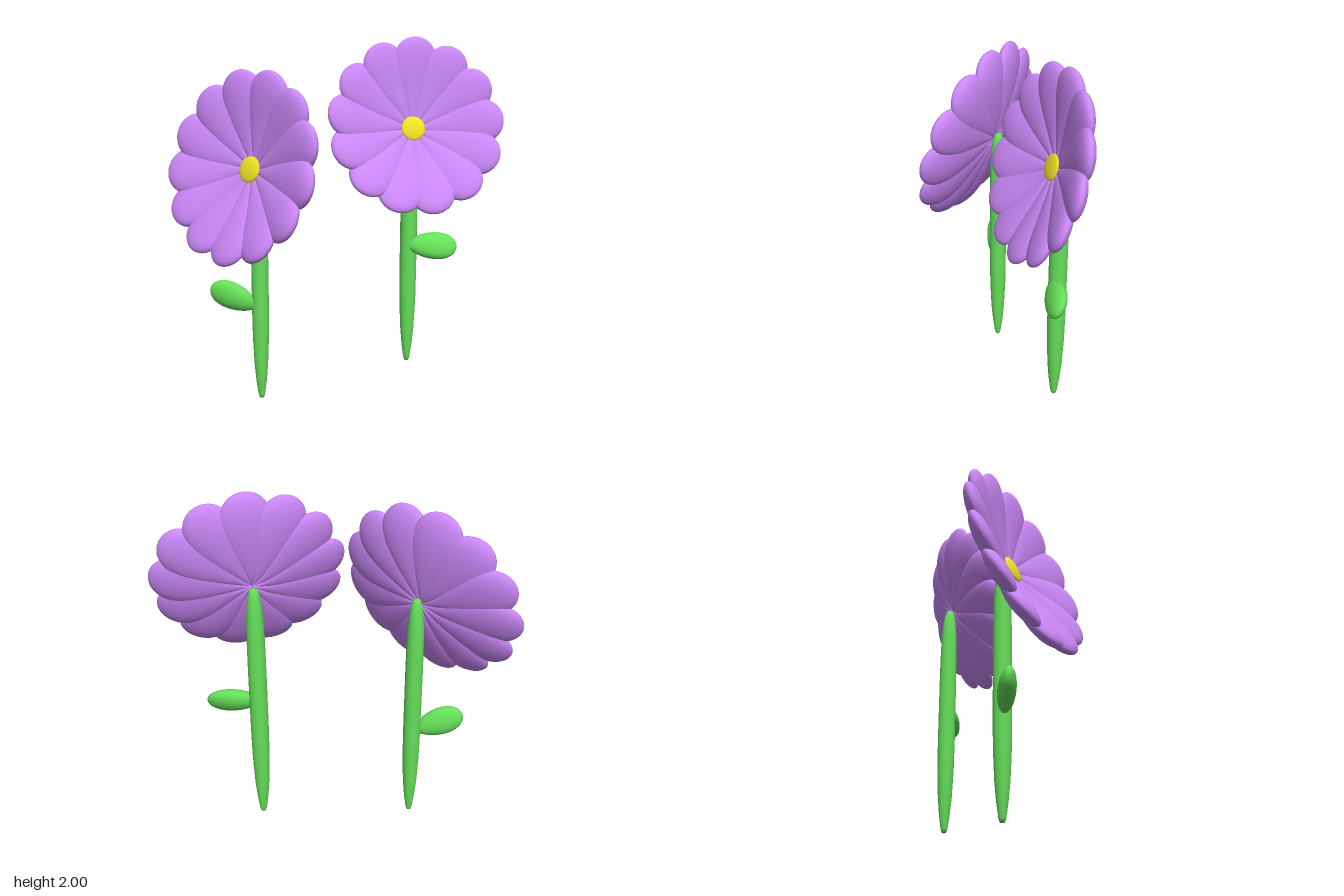
import * as THREE from 'three';

const purple = new THREE.MeshStandardMaterial({ color: 0xcb88f8 });
const green = new THREE.MeshStandardMaterial({ color: 0x66df5a });
const yellow = new THREE.MeshStandardMaterial({ color: 0xf2e426 });

// Flattened blade along +y from 0 to length; half width and half thickness are rules of t (0..1)
function blade(length, halfWidth, halfThick, bend = () => 0) {
  const geo = new THREE.SphereGeometry(1, 24, 28);
  const p = geo.attributes.position;
  for (let i = 0; i < p.count; i++) {
    const t = Math.max(0, (p.getY(i) + 1) / 2);
    p.setXYZ(i, p.getX(i) * halfWidth(t), t * length, p.getZ(i) * halfThick(t) + bend(t));
  }
  geo.computeVertexNormals();
  return geo;
}

function named(geometry, material, name) {
  const mesh = new THREE.Mesh(geometry, material);
  mesh.name = name;
  return mesh;
}

// Petal: narrow at the heart, round and plump at the tip, cupped forward
const petalGeo = blade(0.49, t => 0.18 * t ** 0.8, t => 0.028 + 0.04 * t * t, t => 0.105 * t ** 1.4);
// Leaf: broad and blunt
const leafGeo = blade(0.275, t => 0.062 + 0.03 * t, () => 0.045);
// Stem: long rod, pointed at the foot and rounder at the top
const profile = [
  [0, 0], [0.012, 0.002], [0.018, 0.02], [0.029, 0.1], [0.038, 0.2], [0.045, 0.36], [0.047, 0.52],
  [0.047, 0.9], [0.046, 1.05], [0.043, 1.17], [0.037, 1.25], [0.028, 1.31], [0.018, 1.335], [0, 1.342],
];
const stemGeo = new THREE.LatheGeometry(profile.map(([r, y]) => new THREE.Vector2(r, y)), 24);

function bloom(facing, size, startAngle) {
  const head = new THREE.Group();
  head.name = 'bloom';
  const count = 13;
  for (let i = 0; i < count; i++) {
    const arm = new THREE.Group();
    arm.rotation.z = startAngle - Math.PI / 2 + (i * 2 * Math.PI) / count;
    const petal = named(petalGeo, purple, 'petal');
    petal.rotation.y = 0.08;
    arm.add(petal);
    head.add(arm);
  }
  const heart = named(new THREE.SphereGeometry(1, 24, 16), yellow, 'flowerCentre');
  heart.scale.set(0.066, 0.066, 0.015);
  heart.position.z = 0.027;
  head.add(heart);
  head.quaternion.setFromUnitVectors(new THREE.Vector3(0, 0, 1), new THREE.Vector3(...facing).normalize());
  head.scale.setScalar(size);
  return head;
}

function flower({ name, base, centre, facing, size, startAngle, leafStart, leafAngle, leafTilt }) {
  const g = new THREE.Group();
  g.name = name;
  const stem = named(stemGeo, green, 'stem');
  stem.position.set(...base);
  const head = bloom(facing, size, startAngle);
  head.position.set(...centre);
  // Leaf points sideways from the stem, tilted about its own length
  const leaf = named(leafGeo, green, 'leaf');
  leaf.position.set(...leafStart);
  leaf.rotation.set(0, leafTilt, leafAngle, 'ZYX');
  g.add(stem, head, leaf);
  return g;
}

export function createModel() {
  const model = new THREE.Group();
  model.name = 'flowers';
  model.add(
    flower({
      name: 'rightFlower', base: [-0.395, 0, -0.053], centre: [-0.418, 1.303, -0.027],
      facing: [-0.55, 0.28, 0.79], size: 1.085, startAngle: 1.27,
      leafStart: [-0.415, 0.54, -0.045], leafAngle: 1.18, leafTilt: -0.12,
    }),
    flower({
      name: 'leftFlower', base: [0.415, 0.16, -0.298], centre: [0.425, 1.503, -0.272],
      facing: [0.25, 0.32, 0.91], size: 1, startAngle: Math.PI / 2,
      leafStart: [0.41, 0.855, -0.273], leafAngle: -1.6, leafTilt: -0.48,
    }),
  );
  return model;
}
